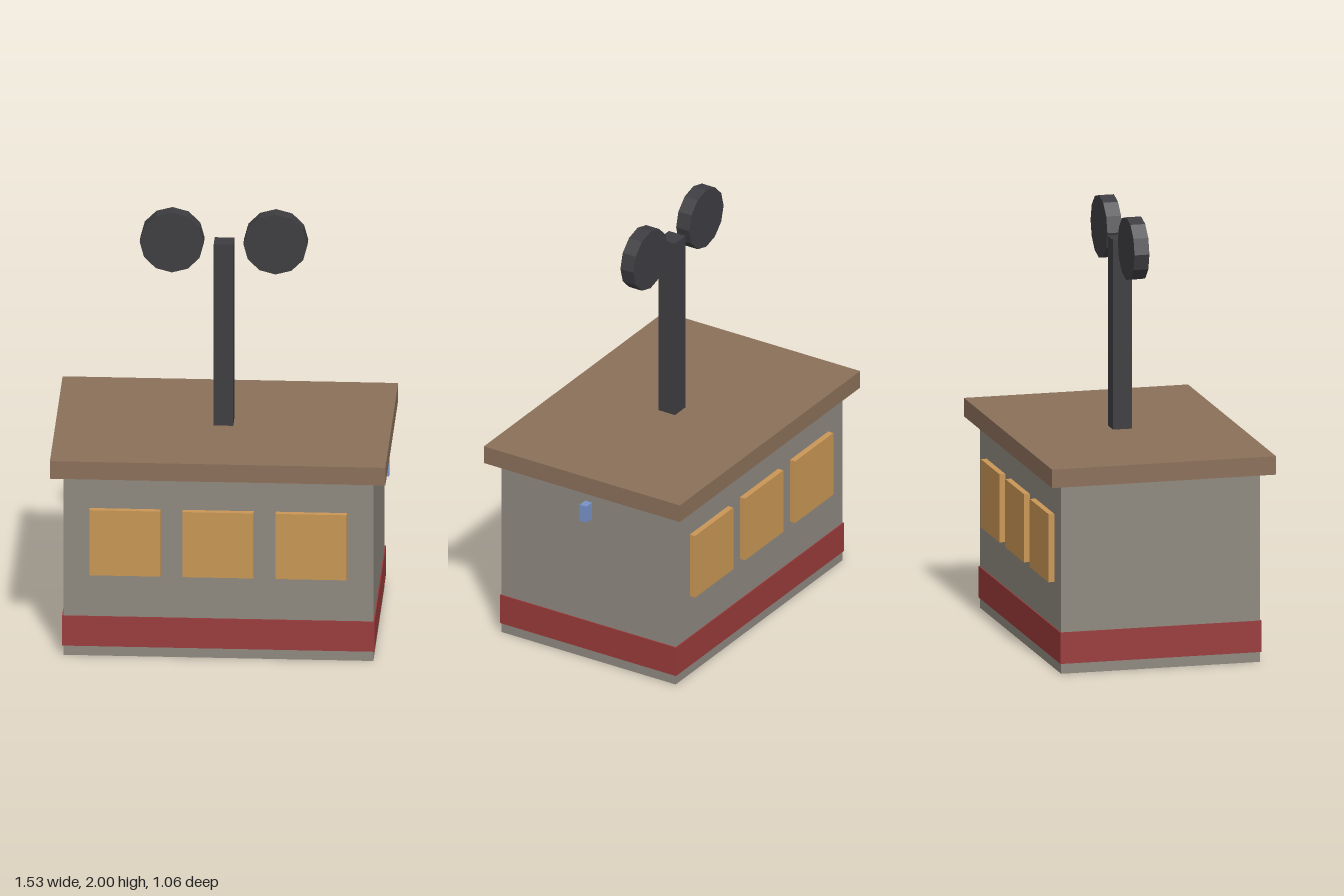
import * as THREE from 'three';

const paint = (name, color) => {
  const m = new THREE.MeshStandardMaterial({ color });
  m.name = name;
  return m;
};

export function createModel() {
  const model = new THREE.Group();
  model.name = 'signalCabin';

  const wall = paint('wall grey', 0x8e8980);
  const roofBrown = paint('roof brown', 0x8b705a);
  const red = paint('band red', 0x9a3b3b);
  const amber = paint('window amber', 0xc99655);
  const dark = paint('mast charcoal', 0x3e3d41);
  const blue = paint('lamp blue', 0x7792c8);

  const add = (name, geometry, material, x, y, z) => {
    const mesh = new THREE.Mesh(geometry, material);
    mesh.name = name;
    mesh.position.set(x, y, z);
    model.add(mesh);
    return mesh;
  };
  // Box standing on height y0 and reaching y1
  const box = (name, material, w, y0, y1, d, x = 0, z = 0) =>
    add(name, new THREE.BoxGeometry(w, y1 - y0, d), material, x, (y0 + y1) / 2, z);

  // Cabin
  box('cabinWalls', wall, 1.412, 0, 0.882, 0.938);
  box('baseBand', red, 1.422, 0.047, 0.193, 0.948);
  box('roof', roofBrown, 1.528, 0.882, 0.968, 1.056);

  // Three windows on the front and on the back
  for (const side of [1, -1]) {
    for (const x of [-0.424, 0, 0.424]) {
      box(side > 0 ? 'frontWindow' : 'backWindow', amber, 0.324, 0.402, 0.72, 0.03, x, side * 0.482);
    }
  }

  // Small lamp on the left wall
  box('wallLamp', blue, 0.048, 0.726, 0.809, 0.037, 0.729);

  // Mast with a pair of twelve-sided discs
  box('mast', dark, 0.089, 0.968, 1.853, 0.089);
  const discGeometry = new THREE.CylinderGeometry(0.146, 0.146, 0.07, 12).toNonIndexed();
  discGeometry.computeVertexNormals();
  for (const side of [1, -1]) {
    const disc = add(side > 0 ? 'leftDisc' : 'rightDisc', discGeometry, dark, side * 0.236, 1.854, 0);
    disc.rotation.x = Math.PI / 2;
  }

  return model;
}
